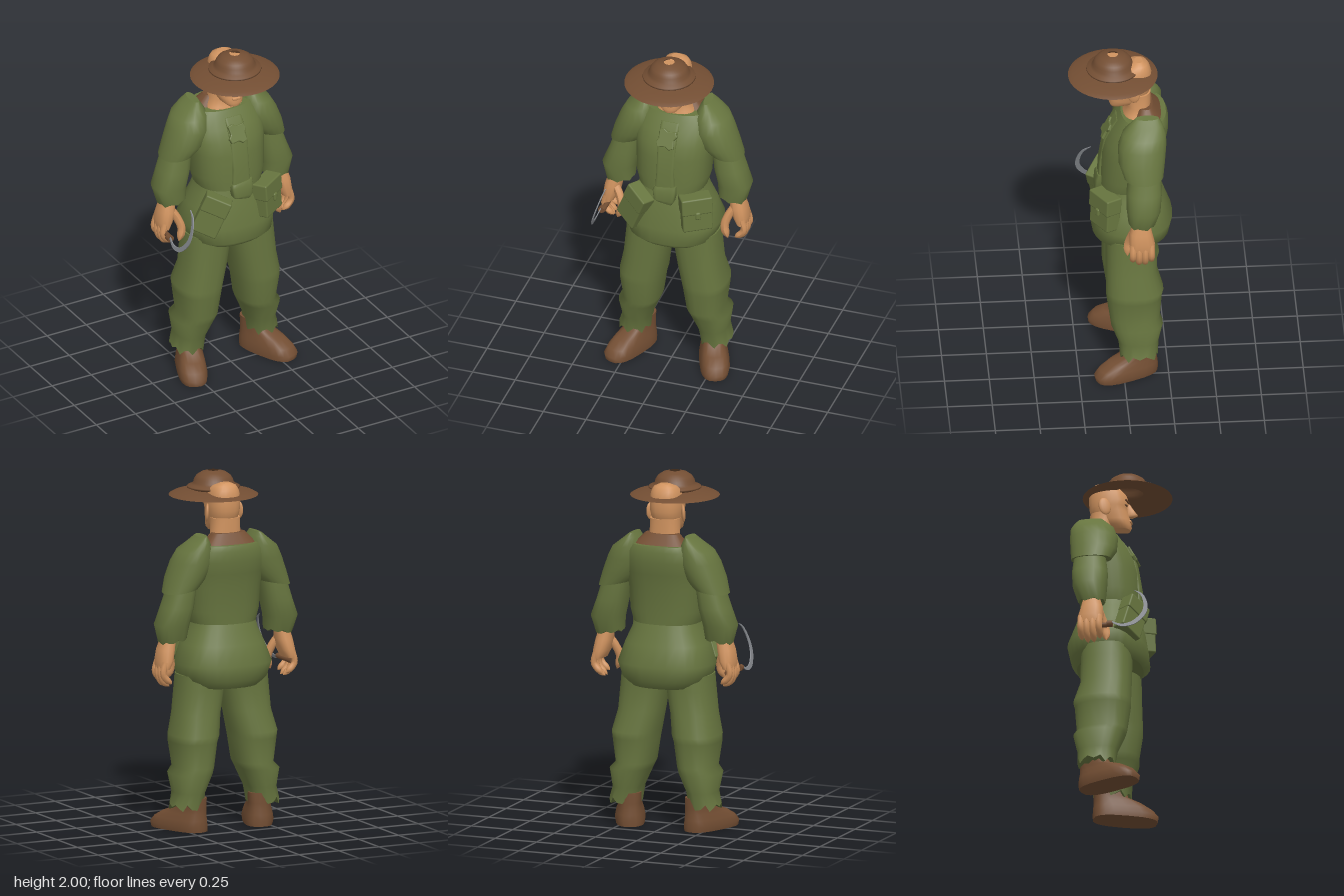
import * as THREE from 'three';
import { RoundedBoxGeometry } from 'three/addons/geometries/RoundedBoxGeometry.js';

const mat = (name, color) => {
  const m = new THREE.MeshStandardMaterial({ color, side: THREE.DoubleSide });
  m.name = name;
  return m;
};

// Stacked rings from bottom to top: [y, x0, x1, z0, z1, tiltX, tiltZ]
function loft(rings, { n = 20, p = 2.4, jag = 0 } = {}) {
  const pos = [], idx = [];
  const bend = (v) => Math.sign(v) * Math.abs(v) ** (2 / p);
  const ringPoints = ([y, x0, x1, z0, z1, tx = 0, tz = 0], wave) => {
    for (let j = 0; j < n; j++) {
      const t = (j / n) * Math.PI * 2, c = bend(Math.cos(t)), s = bend(Math.sin(t));
      pos.push((x0 + x1) / 2 + ((x1 - x0) / 2) * c,
        y + tx * c + tz * s + wave * Math.sin(j * 2.2),
        (z0 + z1) / 2 + ((z1 - z0) / 2) * s);
    }
  };
  rings.forEach((r, i) => ringPoints(r, i === 0 ? jag : 0));
  for (let i = 0; i < rings.length - 1; i++) {
    for (let j = 0; j < n; j++) {
      const a = i * n + j, b = i * n + ((j + 1) % n), c = a + n, d = b + n;
      idx.push(a, c, b, b, c, d);
    }
  }
  // End caps with their own vertices, so that the rim stays sharp
  [0, rings.length - 1].forEach((k) => {
    const r = rings[k], start = pos.length / 3;
    ringPoints(r, k === 0 ? jag : 0);
    pos.push((r[1] + r[2]) / 2, r[0], (r[3] + r[4]) / 2);
    for (let j = 0; j < n; j++) {
      const a = start + j, b = start + ((j + 1) % n);
      if (k === 0) idx.push(start + n, a, b); else idx.push(start + n, b, a);
    }
  });
  const g = new THREE.BufferGeometry();
  g.setAttribute('position', new THREE.Float32BufferAttribute(pos, 3));
  g.setIndex(idx);
  g.computeVertexNormals();
  return g;
}

// Tube along a smooth path, rounded off at its far end
function finger(points, radius) {
  const steps = 10, sides = 8;
  const curve = new THREE.CatmullRomCurve3(points.map((q) => new THREE.Vector3(...q)));
  const g = new THREE.TubeGeometry(curve, steps, radius, sides);
  const pa = g.attributes.position, v = new THREE.Vector3();
  for (let i = 0; i <= steps; i++) {
    const k = i === steps ? 0.05 : i === steps - 1 ? 0.7 : 1;
    const c = curve.getPointAt(i / steps);
    for (let j = 0; j <= sides; j++) {
      const q = i * (sides + 1) + j;
      v.fromBufferAttribute(pa, q).sub(c).multiplyScalar(k).add(c);
      pa.setXYZ(q, v.x, v.y, v.z);
    }
  }
  g.computeVertexNormals();
  return g;
}

function mirrored(geo) {
  const g = geo.clone().scale(-1, 1, 1), a = g.index.array;
  for (let i = 0; i < a.length; i += 3) [a[i], a[i + 1]] = [a[i + 1], a[i]];
  g.computeVertexNormals();
  return g;
}

export function createModel() {
  const root = new THREE.Group();
  root.name = 'farmer';
  const green = mat('green cloth', 0x67753f), brown = mat('brown leather', 0x734e33);
  const skin = mat('skin', 0xd0935f), steel = mat('steel', 0x85888d);
  const add = (name, geo, m) => {
    const mesh = new THREE.Mesh(geo, m);
    mesh.name = name;
    root.add(mesh);
    return mesh;
  };
  const pair = (name, geo, m) => {
    add(name + 'Left', geo, m);
    add(name + 'Right', mirrored(geo), m);
  };

  // Boots, toes turned out
  const place = (g) => g.rotateY(0.38).translate(0.21, 0, -0.1);
  pair('boot', place(loft([[0, -0.082, 0.08, -0.09, 0.275], [0.03, -0.084, 0.086, -0.092, 0.28],
    [0.065, -0.078, 0.08, -0.09, 0.25], [0.1, -0.07, 0.07, -0.085, 0.19], [0.13, -0.064, 0.064, -0.085, 0.11],
    [0.19, -0.065, 0.065, -0.085, 0.09]], { p: 2.8 })), brown);

  // Baggy trousers
  pair('trouserLeg', loft([[0.14, 0.15, 0.325, -0.19, 0.02], [0.22, 0.14, 0.305, -0.195, 0.03],
    [0.325, 0.095, 0.322, -0.22, 0.07], [0.36, 0.08, 0.29, -0.205, 0.075],
    [0.5, 0.06, 0.31, -0.215, 0.095], [0.54, 0.05, 0.312, -0.225, 0.095],
    [0.66, 0.03, 0.285, -0.19, 0.095], [0.8, 0.005, 0.272, -0.19, 0.095],
    [0.88, -0.01, 0.265, -0.19, 0.095]], { n: 22, jag: 0.022 }), green);

  // Tunic: skirt, body, neck yoke
  add('tunicSkirt', loft([[0.815, -0.2, 0.2, -0.235, 0.13, 0, 0.005], [0.855, -0.25, 0.25, -0.268, 0.165],
    [0.94, -0.275, 0.275, -0.285, 0.155], [1.05, -0.238, 0.238, -0.245, 0.138],
    [1.13, -0.2, 0.2, -0.22, 0.115], [1.19, -0.185, 0.185, -0.2, 0.1]], { n: 28 }), green);
  add('tunicBody', loft([[1.17, -0.19, 0.19, -0.215, 0.12], [1.24, -0.21, 0.21, -0.218, 0.118],
    [1.38, -0.215, 0.215, -0.23, 0.11], [1.46, -0.225, 0.225, -0.25, 0.092],
    [1.53, -0.225, 0.225, -0.262, 0.058], [1.59, -0.21, 0.21, -0.262, 0.022],
    [1.622, -0.18, 0.18, -0.25, 0.002]], { n: 28 }), green);
  add('neckYoke', loft([[1.6, -0.175, 0.175, -0.24, -0.05],
    [1.68, -0.1, 0.1, -0.175, -0.09]], { n: 24, p: 2.8 }), brown);

  // Sleeves
  pair('shoulderSleeve', loft([[1.375, 0.185, 0.385, -0.22, 0.005, -0.018], [1.44, 0.14, 0.362, -0.23, 0.03],
    [1.53, 0.1, 0.328, -0.24, 0.03], [1.6, 0.11, 0.295, -0.238, 0.005, -0.01],
    [1.645, 0.135, 0.235, -0.22, -0.04, -0.01], [1.675, 0.15, 0.19, -0.2, -0.07, -0.004]], { p: 2.1 }), green);
  pair('forearmSleeve', loft([[1.09, 0.25, 0.405, -0.17, -0.02, -0.012], [1.18, 0.243, 0.434, -0.2, -0.01],
    [1.28, 0.22, 0.395, -0.21, -0.01], [1.42, 0.2, 0.35, -0.2, -0.03]], { jag: 0.008 }), green);

  // Hands
  pair('palm', loft([[0.935, 0.36, 0.42, -0.16, -0.025], [0.98, 0.335, 0.425, -0.165, -0.022],
    [1.04, 0.32, 0.415, -0.15, -0.025], [1.12, 0.31, 0.39, -0.135, -0.05]], { n: 14 }), skin);
  for (let i = 0; i < 4; i++) {
    const z = -0.042 - i * 0.034, dip = i === 1 || i === 2 ? 0 : 0.018;
    pair('finger' + (i + 1), finger([[0.395, 0.975, z], [0.41, 0.91, z], [0.395, 0.865 + dip, z],
      [0.355, 0.832 + dip, z]], 0.019), skin);
  }
  pair('thumb', finger([[0.355, 1.05, -0.06], [0.32, 0.99, -0.04], [0.302, 0.925, -0.022], [0.325, 0.855, -0.015]], 0.024), skin);

  // Front placket, knot and buckle
  add('placket', loft([[1.17, -0.06, 0.06, 0.06, 0.133], [1.3, -0.052, 0.052, 0.06, 0.126],
    [1.46, -0.055, 0.055, 0.03, 0.1], [1.54, -0.055, 0.055, 0, 0.06],
    [1.585, -0.055, 0.055, -0.03, 0.028]], { p: 6 }), green);
  const knot = new THREE.Shape();
  for (let i = 0; i < 16; i++) {
    const a = (i / 16) * Math.PI * 2, r = 0.051 + 0.014 * Math.cos(4 * a - 2.6);
    knot[i ? 'lineTo' : 'moveTo'](r * Math.cos(a), r * Math.sin(a));
  }
  const knotMesh = add('chestKnot', new THREE.ExtrudeGeometry(knot,
    { depth: 0.01, bevelSize: 0.005, bevelThickness: 0.006, bevelSegments: 2 }), green);
  knotMesh.position.set(-0.003, 1.5, 0.074);
  knotMesh.rotation.x = -0.5;
  add('buckle', loft([[1.115, -0.05, 0.045, 0.09, 0.142, -0.008], [1.135, -0.06, 0.06, 0.09, 0.152],
    [1.19, -0.068, 0.068, 0.09, 0.146], [1.215, -0.06, 0.066, 0.09, 0.135, 0.008]], { p: 5 }), green);

  // Belt pouches
  const pouch = (side, x, y, roll, parts) => {
    const g = new THREE.Group();
    g.name = side + 'Pouch';
    parts.forEach(([name, w, h, d, py, pz]) => {
      const m = new THREE.Mesh(new RoundedBoxGeometry(w, h, d, 2, 0.009), green);
      m.name = side + name;
      m.position.set(0, py, pz);
      g.add(m);
    });
    g.position.set(x, y, 0.098);
    g.rotation.set(-0.08, Math.sign(x) * 0.55, roll);
    root.add(g);
  };
  pouch('left', 0.175, 1.07, 0.07, [['Bag', 0.17, 0.2, 0.09, 0, 0],
    ['Flap', 0.178, 0.1, 0.1, 0.055, 0.003], ['Latch', 0.03, 0.045, 0.02, 0, 0.052]]);
  pouch('right', -0.18, 1.04, -0.45, [['Bag', 0.15, 0.23, 0.08, 0, 0], ['Flap', 0.155, 0.1, 0.086, 0.07, 0.003]]);

  // Head and neck, open at the collar
  add('neck', loft([[1.58, -0.125, 0.125, -0.165, -0.002], [1.635, -0.105, 0.105, -0.165, -0.012],
    [1.67, -0.085, 0.085, -0.165, -0.035], [1.76, -0.085, 0.085, -0.165, -0.02]]), skin);
  add('head', loft([[1.672, -0.04, 0.04, -0.04, 0.06, 0, -0.005], [1.69, -0.062, 0.062, -0.08, 0.068],
    [1.72, -0.075, 0.075, -0.14, 0.062], [1.77, -0.085, 0.085, -0.162, 0.052],
    [1.8, -0.09, 0.09, -0.168, 0.046], [1.83, -0.092, 0.092, -0.17, 0.056],
    [1.88, -0.09, 0.09, -0.17, 0.04], [1.915, -0.08, 0.08, -0.16, 0.01],
    [1.938, -0.062, 0.062, -0.145, -0.04], [1.953, -0.03, 0.03, -0.12, -0.075]], { n: 24 }), skin);
  add('nose', loft([[1.745, -0.014, 0.014, 0.03, 0.08], [1.757, -0.021, 0.021, 0.03, 0.104],
    [1.78, -0.015, 0.015, 0.03, 0.088], [1.825, -0.009, 0.009, 0.03, 0.06]], { n: 10 }), skin);
  add('lips', new RoundedBoxGeometry(0.05, 0.018, 0.02, 2, 0.007).translate(0, 1.717, 0.06), skin);
  pair('ear', new THREE.SphereGeometry(1, 12, 10).scale(0.012, 0.052, 0.036)
    .rotateY(-0.45).rotateX(-0.15).translate(0.097, 1.785, -0.066), skin);
  pair('eyebrow', new THREE.BoxGeometry(0.046, 0.007, 0.008).rotateZ(0.12).rotateY(0.22)
    .translate(0.043, 1.828, 0.052), brown);
  pair('eye', new THREE.BoxGeometry(0.024, 0.005, 0.008).rotateY(0.22).translate(0.04, 1.806, 0.045), brown);

  // Wide hat with a small hole at the crown
  const lathe = (pts) => new THREE.LatheGeometry(pts.map((q) => new THREE.Vector2(...q)), 40).translate(0, 0, 0.045);
  add('hatBrim', lathe([[0.09, 1.888], [0.17, 1.88], [0.225, 1.871], [0.25, 1.863]]), brown);
  add('hatBrimTop', lathe([[0.25, 1.863], [0.225, 1.877], [0.17, 1.889], [0.09, 1.9]]), brown);
  add('hatCrown', lathe([[0.09, 1.888], [0.12, 1.894], [0.148, 1.905], [0.146, 1.913], [0.124, 1.922],
    [0.113, 1.934], [0.108, 1.952], [0.095, 1.972], [0.068, 1.99], [0.03, 2]]), brown);
  add('crownPatch', new THREE.CylinderGeometry(0.06, 0.06, 0.006, 24).translate(0, 1.965, 0.045), skin);

  // Sickle in the right hand
  add('sickleHandle', new THREE.CylinderGeometry(0.014, 0.016, 0.18, 10).rotateX(Math.PI / 2)
    .translate(-0.395, 0.915, -0.055), brown);
  add('sickleFerrule', new THREE.CylinderGeometry(0.018, 0.018, 0.03, 10).rotateX(Math.PI / 2)
    .translate(-0.405, 0.915, 0.02), brown);
  const blade = new THREE.Shape();
  blade.moveTo(0.03, 0.922);
  blade.splineThru([[0.09, 0.888], [0.165, 0.9], [0.222, 0.965], [0.226, 1.04], [0.195, 1.11], [0.145, 1.14]]
    .map((q) => new THREE.Vector2(...q)));
  blade.splineThru([[0.185, 1.1], [0.205, 1.035], [0.196, 0.975], [0.15, 0.922], [0.09, 0.906], [0.03, 0.93]]
    .map((q) => new THREE.Vector2(...q)));
  const bladeGeo = new THREE.ExtrudeGeometry(blade, { depth: 0.006, bevelEnabled: false, curveSegments: 24 });
  const bp = bladeGeo.attributes.position;
  for (let i = 0; i < bp.count; i++) {
    bp.setXYZ(i, -0.417 + (bp.getY(i) - 0.9) * 0.31 + bp.getZ(i), bp.getY(i), bp.getX(i));
  }
  bladeGeo.computeVertexNormals();
  add('sickleBlade', bladeGeo, steel);
  return root;
}
